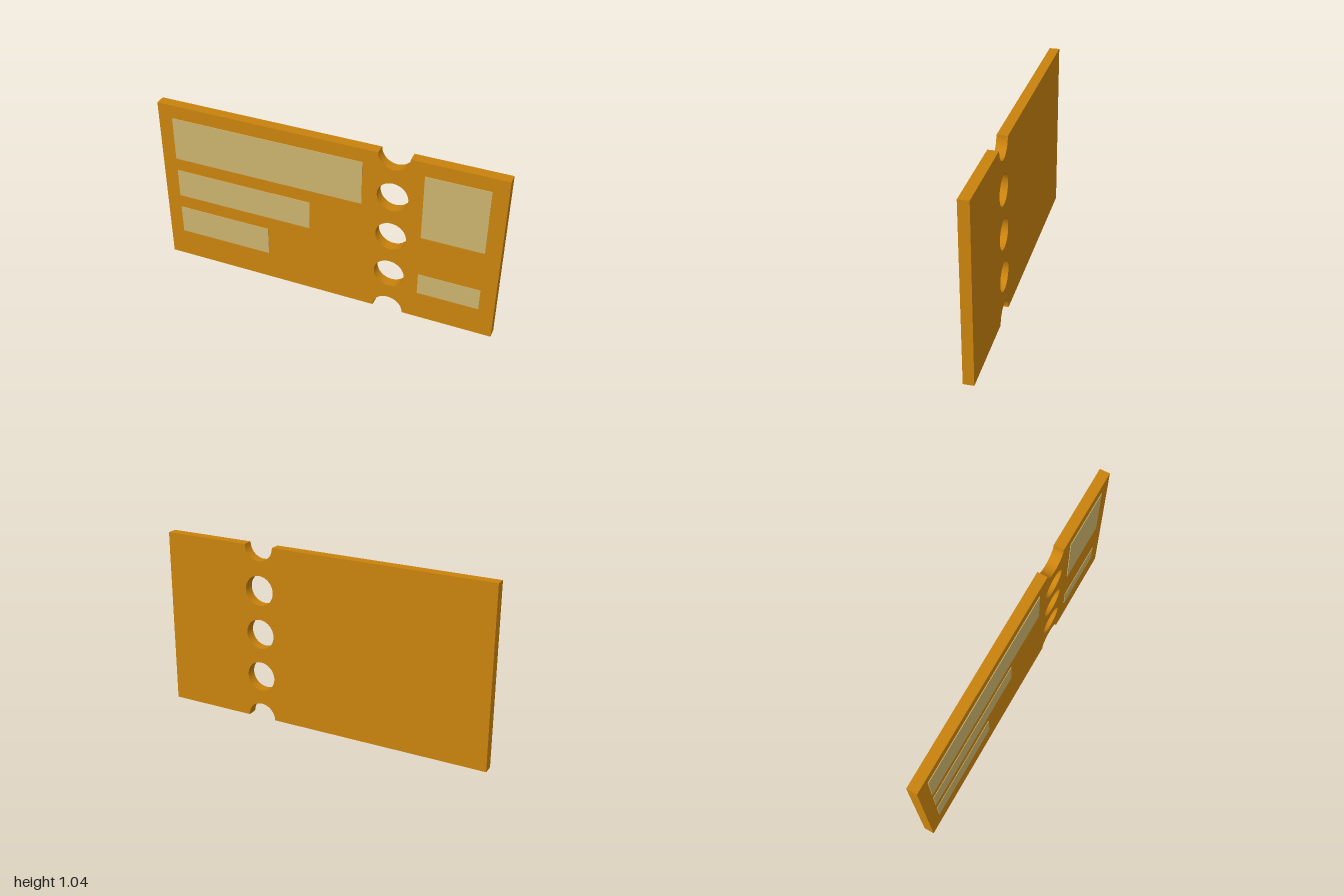
import * as THREE from 'three';

const HEIGHT = 1.045, BACK = -0.032, FRONT = 0.028;
const HOLE_X = 0.39, HOLE_R = 0.088;

export function createModel() {
  const group = new THREE.Group();
  group.name = 'ticket';
  const orange = new THREE.MeshStandardMaterial({ name: 'orange card', color: 0xc9820d });
  const cream = new THREE.MeshStandardMaterial({ name: 'pale print', color: 0xcab26d });

  // Card outline with half-round notches at the ends of the tear line
  const outline = new THREE.Shape();
  outline.moveTo(-1, 0);
  outline.lineTo(HOLE_X - HOLE_R, 0);
  outline.absarc(HOLE_X, 0, HOLE_R, Math.PI, 0, true);
  outline.lineTo(1, 0);
  outline.lineTo(1, HEIGHT);
  outline.lineTo(HOLE_X + HOLE_R, HEIGHT);
  outline.absarc(HOLE_X, HEIGHT, HOLE_R, 0, -Math.PI, true);
  outline.lineTo(-1, HEIGHT);
  outline.closePath();

  // Round perforations between the notches
  for (let i = 1; i <= 3; i++) {
    const hole = new THREE.Path();
    hole.absarc(HOLE_X, (HEIGHT * i) / 4, HOLE_R, 0, Math.PI * 2, true);
    outline.holes.push(hole);
  }
  const cardGeometry = new THREE.ExtrudeGeometry(outline, {
    depth: FRONT - BACK, bevelEnabled: false, curveSegments: 32,
  });
  cardGeometry.translate(0, 0, BACK);
  const card = new THREE.Mesh(cardGeometry, orange);
  card.name = 'card';
  group.add(card);

  // Thin printed blocks: name, left, right, bottom, top, thickness
  const blocks = [
    ['titleBlock', -0.914, 0.218, 0.696, 0.963, 0.004],
    ['upperLine', -0.914, -0.087, 0.438, 0.615, 0.003],
    ['lowerLine', -0.914, -0.349, 0.177, 0.354, 0.003],
    ['stubBlock', 0.56, 0.914, 0.567, 0.963, 0.004],
    ['stubLine', 0.56, 0.914, 0.177, 0.31, 0.003],
  ];
  for (const [name, x0, x1, y0, y1, depth] of blocks) {
    const block = new THREE.Mesh(new THREE.BoxGeometry(x1 - x0, y1 - y0, depth), cream);
    block.position.set((x0 + x1) / 2, (y0 + y1) / 2, FRONT + depth / 2);
    block.name = name;
    group.add(block);
  }
  return group;
}
